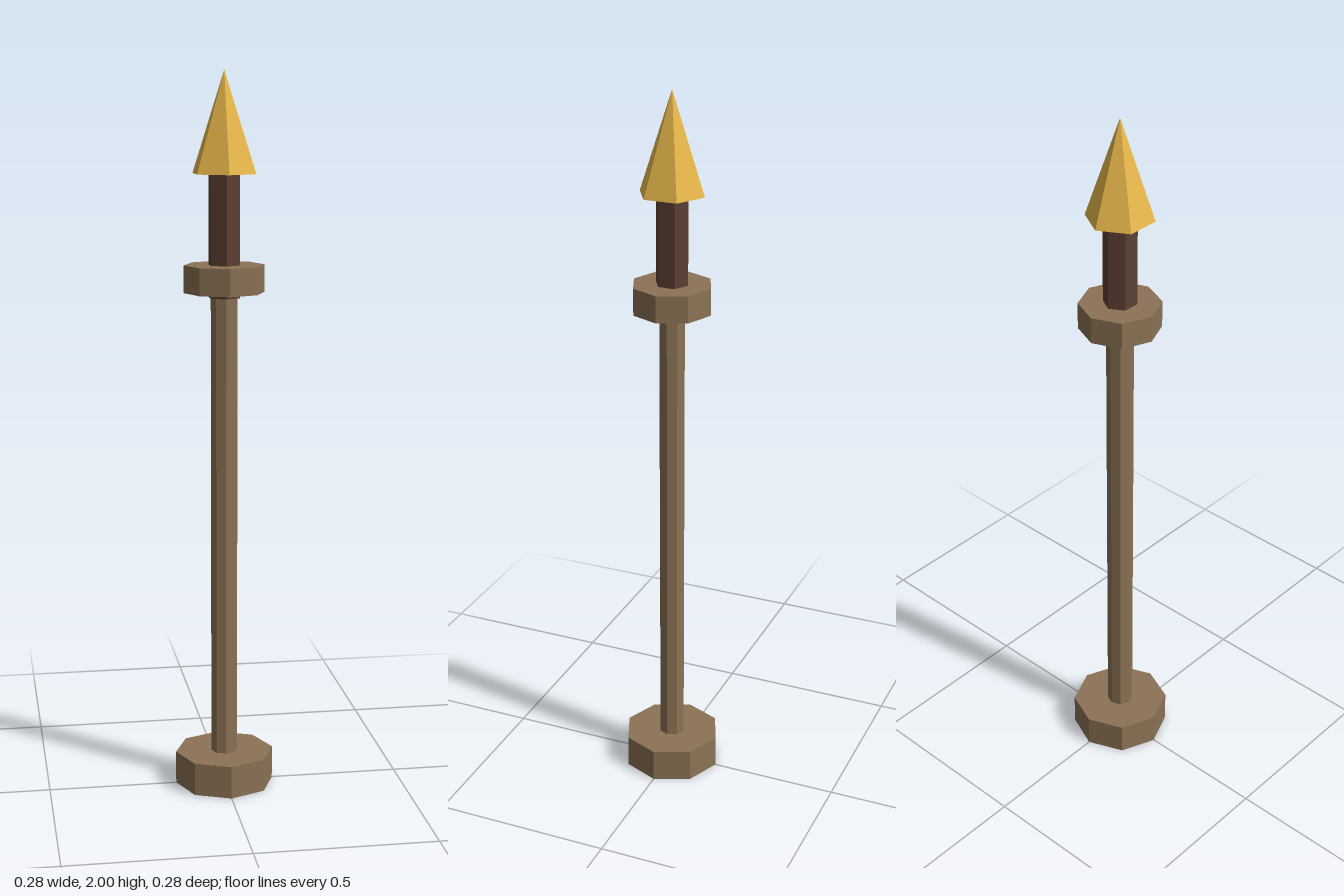
import * as THREE from 'three';

const material = (color) => new THREE.MeshStandardMaterial({ color, flatShading: true });

export function createModel() {
  const model = new THREE.Group();
  const wood = material(0x8b7355);
  const darkWood = material(0x5c4033);
  const gold = material(0xe8b84b);

  // Upright prism or cone between two heights
  const addPart = (name, geometry, bottom, top, mat) => {
    const mesh = new THREE.Mesh(geometry, mat);
    mesh.name = name;
    mesh.position.y = (bottom + top) / 2;
    model.add(mesh);
  };
  const addPrism = (name, radius, bottom, top, sides, mat) =>
    addPart(name, new THREE.CylinderGeometry(radius, radius, top - bottom, sides), bottom, top, mat);

  // Octagonal foot, shaft and collar
  addPrism('foot', 0.139, 0, 0.093, 8, wood);
  addPrism('shaft', 0.037, 0.093, 1.41, 8, wood);
  addPrism('collar', 0.111, 1.407, 1.482, 8, wood);

  // Hexagonal neck and pointed tip
  addPrism('neck', 0.046, 1.393, 1.727, 6, darkWood);
  addPart('tip', new THREE.ConeGeometry(0.092, 0.273, 6), 1.727, 2, gold);

  return model;
}
